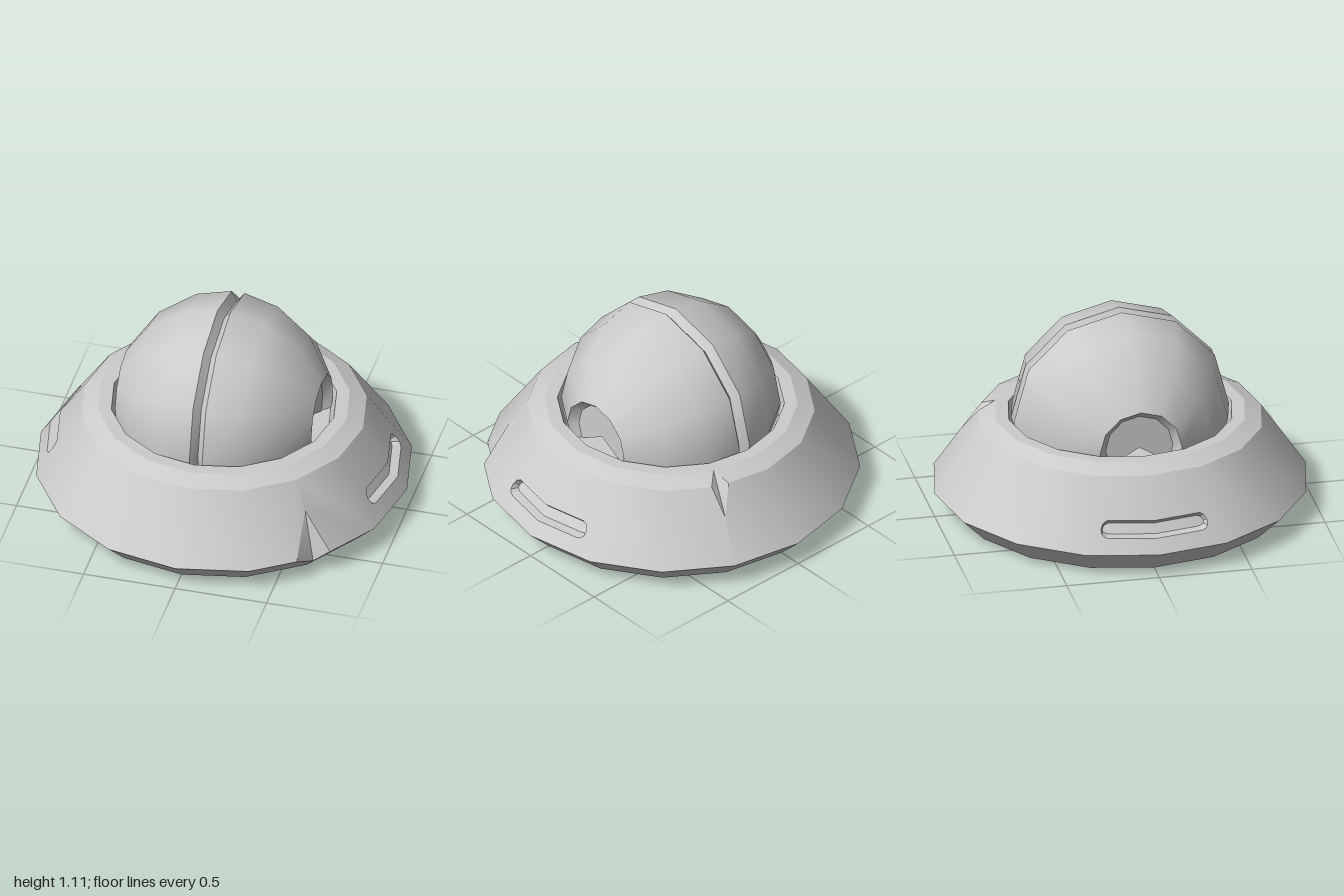
import * as THREE from 'three';
import { toCreasedNormals } from 'three/addons/utils/BufferGeometryUtils.js';

const SIDES = 16, STEP = (2 * Math.PI) / SIDES;
const V = (x, y, z) => new THREE.Vector3(x, y, z);
const material = new THREE.MeshStandardMaterial({ color: 0xcccccc });

// Ring profile of the hull [radius, height], from the underside centre to the well floor
const RINGS = [[0, 0], [0.87, 0], [1, 0.13], [0.76, 0.485], [0.67, 0.525], [0.6, 0.525], [0.57, 0.44], [0, 0.44]];
const SLOPE = 2; // ring where the big sloping band starts

// Chips cut out of the hull's corners: how far each reaches along the four edges
const CHIPS = {
  '2,2': { up: 0.606, down: 0.46, next: 0.315, prev: 0.2 },
  '3,13': { up: 1, down: 0.394, next: 0.14, prev: 0.19 },
};

const corner = (k, i) => V(RINGS[k][0] * Math.cos(i * STEP), RINGS[k][1], RINGS[k][0] * Math.sin(i * STEP));

// Triangle collector; "out" (optional) is a direction the face must look towards
function collector() {
  const data = [];
  const tri = (a, b, c, out) => {
    const n = b.clone().sub(a).cross(c.clone().sub(a));
    if (n.length() < 1e-9) return;
    const order = out && n.dot(out) < 0 ? [a, c, b] : [a, b, c];
    for (const p of order) data.push(p.x, p.y, p.z);
  };
  const build = (crease) => {
    const g = new THREE.BufferGeometry();
    g.setAttribute('position', new THREE.Float32BufferAttribute(data, 3));
    return toCreasedNormals(g, crease);
  };
  return { tri, build };
}

// One hull facet, with any chipped corner replaced by two points
function addFacet(tri, k, i) {
  const keys = [[k, i], [k + 1, i], [k + 1, i + 1], [k, i + 1]];
  const poly = [];
  keys.forEach(([ck, ci], j) => {
    const p = corner(ck, ci), chip = CHIPS[`${ck},${ci % SIDES}`];
    if (!chip) return poly.push(p);
    for (const [ok, oi] of [keys[(j + 3) % 4], keys[(j + 1) % 4]]) {
      const t = ok > ck ? chip.up : ok < ck ? chip.down : oi > ci ? chip.next : chip.prev;
      poly.push(p.clone().lerp(corner(ok, oi), t));
    }
  });
  for (let j = 1; j < poly.length - 1; j++) tri(poly[0], poly[j], poly[j + 1]);
}

// The two inner faces of a chip
function addChip(tri, k, i, chip) {
  const p = corner(k, i), reach = (dk, di, t) => p.clone().lerp(corner(k + dk, i + di), t);
  const top = reach(1, 0, chip.up), bottom = reach(-1, 0, chip.down);
  const out = V(p.x, 0, p.z);
  tri(top, bottom, reach(0, 1, chip.next), out);
  tri(top, bottom, reach(0, -1, chip.prev), out);
}

// Half of a side slot: the sloping facet with a recess that meets its mirror at z = 0
const SLOT = [[0, 0.285], [0.25, 0.285], [0.273, 0.272], [0.287, 0.245], [0.285, 0.222], [0.27, 0.209], [0.25, 0.205], [0, 0.205]];
function addSlotFacet(tri, sx, sz) {
  const [[r0, y0], [r1, y1]] = [RINGS[SLOPE], RINGS[SLOPE + 1]];
  const place = ([z, y], depth = 0) => {
    const r = r0 + ((r1 - r0) * (y - y0)) / (y1 - y0);
    return V(sx * (r - z * Math.tan(STEP / 2) - depth), y, sz * z);
  };
  const fill = (pts, depth) => {
    const flat = pts.map(([z, y]) => new THREE.Vector2(z, y));
    for (const f of THREE.ShapeUtils.triangulateShape(flat, [])) {
      tri(...f.map((n) => place(pts[n], depth)), V(sx, 0, 0));
    }
  };
  const s = Math.sin(STEP);
  fill([[0, y0], [r0 * s, y0], [r1 * s, y1], [0, y1], ...SLOT], 0);
  const floor = SLOT.map(([z, y]) => [z * 0.95, 0.21 + (y - 0.205) * 0.6]);
  fill(floor, 0.045);
  for (let j = 0; j < SLOT.length - 1; j++) {
    const a = place(SLOT[j]), b = place(SLOT[j + 1]);
    const c = place(floor[j + 1], 0.045), d = place(floor[j], 0.045);
    const mid = a.clone().add(b).multiplyScalar(0.5);
    const inward = V(0, 0.245 - mid.y, sz * (Math.min(Math.abs(mid.z), 0.24) - Math.abs(mid.z)));
    tri(a, b, c, inward);
    tri(a, c, d, inward);
  }
}

function makeHull() {
  const { tri, build } = collector();
  const slotted = [0, 7, 8, 15];
  for (let k = 0; k < RINGS.length - 1; k++) {
    for (let i = 0; i < SIDES; i++) {
      if (k !== SLOPE || !slotted.includes(i)) addFacet(tri, k, i);
    }
  }
  for (const [key, chip] of Object.entries(CHIPS)) addChip(tri, ...key.split(',').map(Number), chip);
  for (const sx of [1, -1]) for (const sz of [1, -1]) addSlotFacet(tri, sx, sz);
  return build(0.4);
}

// Dome turned about the x axis: central V groove and a sunken panel at each end
function makeDome() {
  const R = 0.58, ring = (deg) => [R * Math.sin((deg * Math.PI) / 180), R * Math.cos((deg * Math.PI) / 180)];
  const half = [[0.035, R], ring(22.5), ring(45), ring(67.5), [0.49, 0.182], [0.49, 0]];
  const mirrored = half.map(([x, r]) => [-x, r]).reverse();
  const profile = [...mirrored, [0, 0.535], ...half].map(([x, r]) => new THREE.Vector2(r, x));
  const g = new THREE.LatheGeometry(profile, 8, (150 * Math.PI) / 180, (240 * Math.PI) / 180);
  g.rotateZ(-Math.PI / 2);
  return toCreasedNormals(g, 0.6);
}

export function createModel() {
  const group = new THREE.Group();
  const hull = new THREE.Mesh(makeHull(), material);
  hull.name = 'hull';
  const dome = new THREE.Mesh(makeDome(), material);
  dome.name = 'dome';
  dome.position.y = 0.525;
  group.add(hull, dome);
  return group;
}
